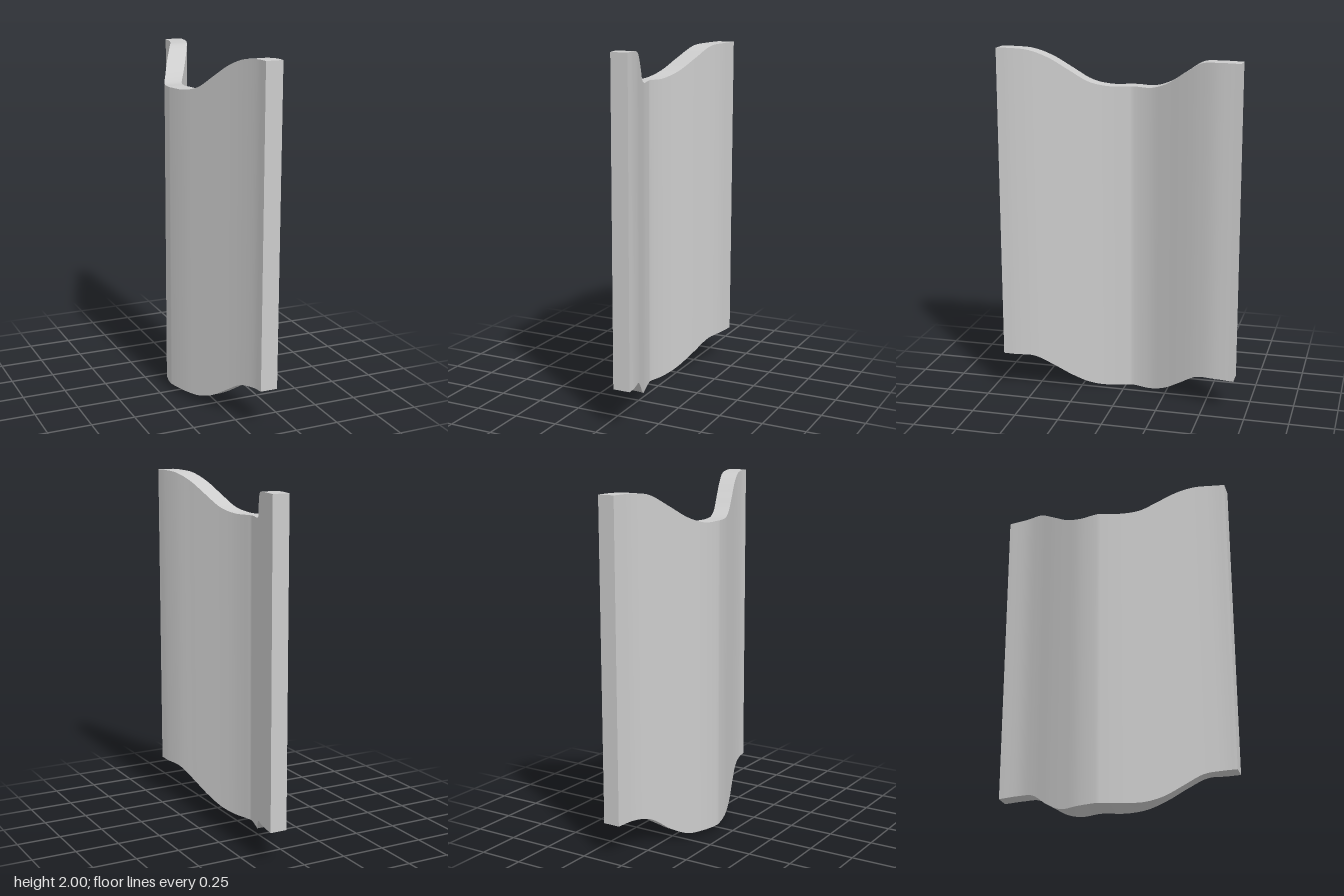
import * as THREE from 'three';
import { mergeGeometries } from 'three/addons/utils/BufferGeometryUtils.js';

const STEPS = 84;

// Stations along the panel, front to back
const z = [0.675, 0.6, 0.5, 0.4, 0.3, 0.2, 0.1, 0, -0.05, -0.15, -0.25, -0.35, -0.45, -0.55, -0.675];
// Wavy plan: x of the outer and inner faces
const outerX = [0.068, 0.056, 0.025, -0.013, -0.054, -0.094, -0.133, -0.163, -0.169, -0.148, -0.103, -0.052, 0.004, 0.047, 0.068];
const innerX = [0.165, 0.155, 0.128, 0.088, 0.046, 0.003, -0.036, -0.065, -0.072, -0.045, 0.006, 0.061, 0.111, 0.147, 0.165];
// Heights of the swept top and bottom edges
const topY = [2, 2, 1.988, 1.945, 1.877, 1.81, 1.782, 1.78, 1.78, 1.78, 1.815, 1.88, 1.943, 1.955, 1.955];
const outerBottomY = [0.225, 0.22, 0.2, 0.137, 0.072, 0.037, 0.03, 0.03, 0.03, 0.03, 0.035, 0.085, 0.16, 0.18, 0.18];
const innerBottomY = [0.225, 0.22, 0.21, 0.15, 0.08, 0.025, 0.001, 0, 0, 0, 0.035, 0.1, 0.165, 0.18, 0.18];

// Smooth curve through one long edge
function edge(x, y) {
  const points = z.map((zi, i) => new THREE.Vector3(x[i], y[i], zi));
  return new THREE.CatmullRomCurve3(points, false, 'catmullrom', 0.5).getPoints(STEPS);
}

function surface(points, index) {
  const geometry = new THREE.BufferGeometry().setFromPoints(points);
  geometry.setIndex(index);
  geometry.computeVertexNormals();
  return geometry;
}

// Smooth strip between two neighbouring long edges
function strip(a, b) {
  const points = [];
  const index = [];
  for (let i = 0; i <= STEPS; i++) {
    points.push(a[i], b[i]);
    const k = i * 2;
    if (i < STEPS) index.push(k, k + 2, k + 1, k + 1, k + 2, k + 3);
  }
  return surface(points, index);
}

export function createModel() {
  const group = new THREE.Group();
  group.name = 'wavyPanel';

  // Four long edges, anticlockwise seen from the front
  const edges = [
    edge(outerX, outerBottomY),
    edge(innerX, innerBottomY),
    edge(innerX, topY),
    edge(outerX, topY),
  ];

  // Bottom, inner, top and outer faces, then the two flat ends
  const parts = edges.map((e, i) => strip(e, edges[(i + 1) % 4]));
  parts.push(surface(edges.map((e) => e[0]), [0, 1, 2, 0, 2, 3]));
  parts.push(surface(edges.map((e) => e[STEPS]), [0, 2, 1, 0, 3, 2]));

  const panel = new THREE.Mesh(
    mergeGeometries(parts),
    new THREE.MeshStandardMaterial({ color: 0xcccccc })
  );
  panel.name = 'curvedPanel';
  group.add(panel);
  return group;
}
